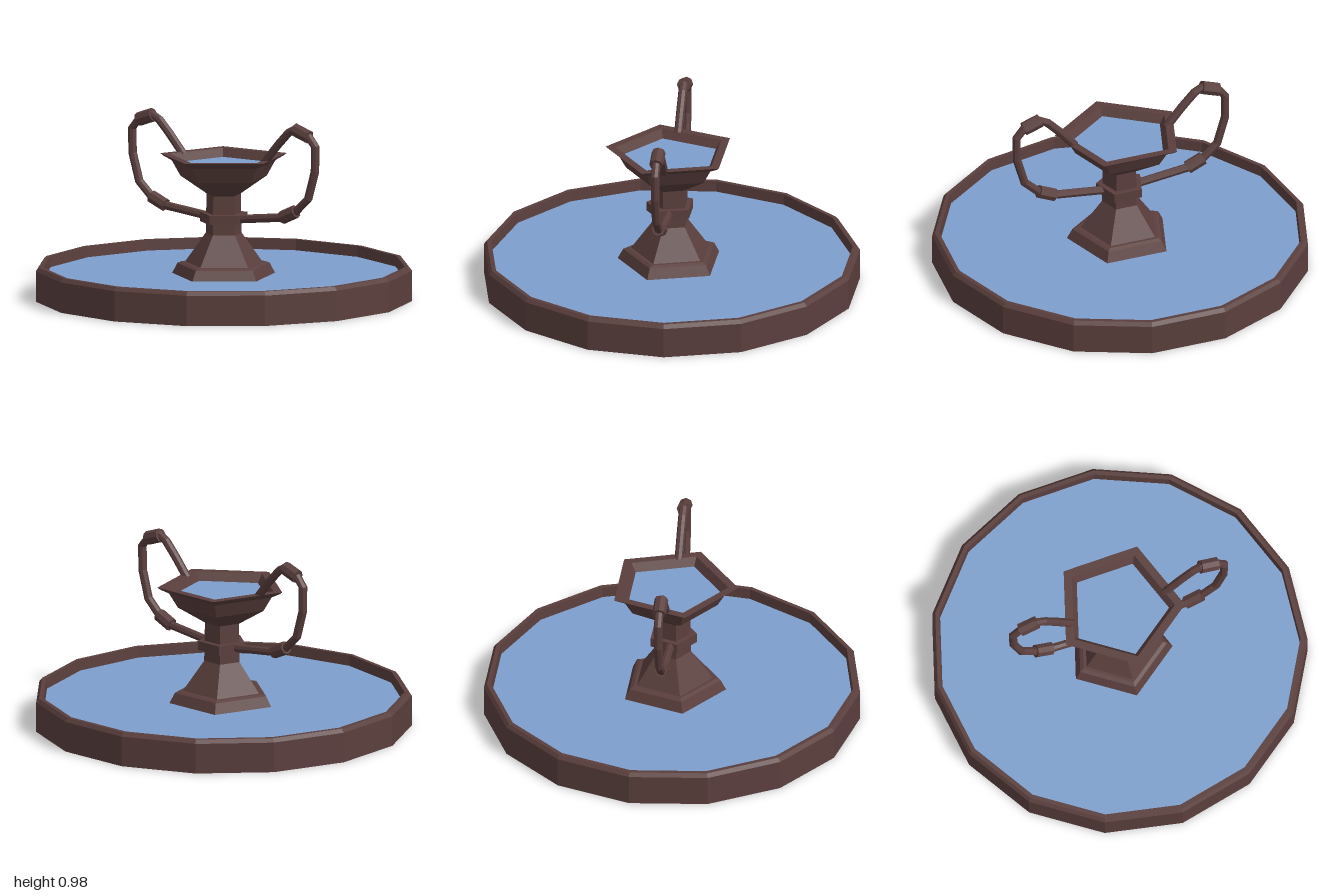
import * as THREE from 'three';

const stone = new THREE.MeshStandardMaterial({ name: 'brownStone', color: 0x5a3f3d, flatShading: true });
const water = new THREE.MeshStandardMaterial({ name: 'blueWater', color: 0x7d9fcd });

// faceted turned part with one corner pointing to -x
function turned(name, profile, sides) {
  const points = profile.map(([r, y]) => new THREE.Vector2(r, y));
  const mesh = new THREE.Mesh(new THREE.LatheGeometry(points, sides, -Math.PI / 2), stone);
  mesh.name = name;
  return mesh;
}

function waterSurface(name, radius, y, sides) {
  const geometry = new THREE.CircleGeometry(radius, sides, Math.PI).rotateX(-Math.PI / 2);
  const mesh = new THREE.Mesh(geometry, water);
  mesh.position.y = y;
  mesh.name = name;
  return mesh;
}

// curve whose samples land exactly on the given corners
class CornerCurve extends THREE.Curve {
  constructor(points) {
    super();
    this.points = points;
  }
  getPoint(t, target = new THREE.Vector3()) {
    const s = t * (this.points.length - 1);
    const i = Math.min(Math.floor(s + 1e-6), this.points.length - 2);
    return target.copy(this.points[i]).lerp(this.points[i + 1], s - i);
  }
  getPointAt(u, target) { return this.getPoint(u, target); }
  getTangentAt(u, target = new THREE.Vector3()) {
    const p = this.points, i = Math.round(u * (p.length - 1));
    const before = p[Math.max(i - 1, 0)], after = p[Math.min(i + 1, p.length - 1)];
    return target.copy(after).sub(before).normalize();
  }
}

// thick knot between two points of the handle
function knot(name, a, b, radius) {
  const along = b.clone().sub(a);
  const geometry = new THREE.CylinderGeometry(radius, radius, along.length(), 8);
  const mesh = new THREE.Mesh(geometry, stone);
  mesh.position.copy(a).lerp(b, 0.5);
  mesh.quaternion.setFromUnitVectors(new THREE.Vector3(0, 1, 0), along.normalize());
  mesh.name = name;
  return mesh;
}

function handle(name) {
  const group = new THREE.Group();
  group.name = name;
  const path = [
    [0.75, 0.262], [0.856, 0.353], [0.925, 0.42], [0.948, 0.46], [0.915, 0.555],
    [0.866, 0.596], [0.733, 0.594], [0.583, 0.55], [0.508, 0.47], [0.468, 0.38], [0.433, 0.08],
  ].map(([y, z]) => new THREE.Vector3(0, y, z));
  const tube = new THREE.Mesh(new THREE.TubeGeometry(new CornerCurve(path), path.length - 1, 0.023, 8), stone);
  tube.name = 'handleTube';
  group.add(tube, knot('upperKnot', path[3], path[4], 0.037), knot('lowerKnot', path[8], path[9], 0.036));
  return group;
}

export function createModel() {
  const model = new THREE.Group();
  model.name = 'fountain';
  model.position.x = 0.011;

  // wide basin with a bevelled rim
  model.add(turned('basin', [
    [0, 0], [1.0055, 0], [1.0055, 0.163], [0.99, 0.183], [0.967, 0.183], [0.963, 0.12],
  ], 15));
  model.add(waterSurface('basinWater', 0.965, 0.125, 15));

  // five-sided plinth, stem and bowl
  model.add(turned('plinth', [[0.29, 0.12], [0.258, 0.18], [0.235, 0.19], [0.2, 0.19]], 5));
  model.add(turned('stem', [[0.215, 0.19], [0.1, 0.35], [0.096, 0.57]], 5));
  model.add(turned('collar', [[0.09, 0.41], [0.132, 0.41], [0.132, 0.46], [0.09, 0.46]], 5));
  model.add(turned('bowl', [
    [0.095, 0.56], [0.242, 0.65], [0.29, 0.73], [0.335, 0.752], [0.353, 0.765],
    [0.3, 0.765], [0.265, 0.715],
  ], 5));
  model.add(waterSurface('bowlWater', 0.269, 0.72, 5));

  // front and back handles
  const front = handle('frontHandle');
  const back = handle('backHandle');
  back.rotation.y = Math.PI;
  model.add(front, back);

  const root = new THREE.Group();
  root.add(model);
  return root;
}
